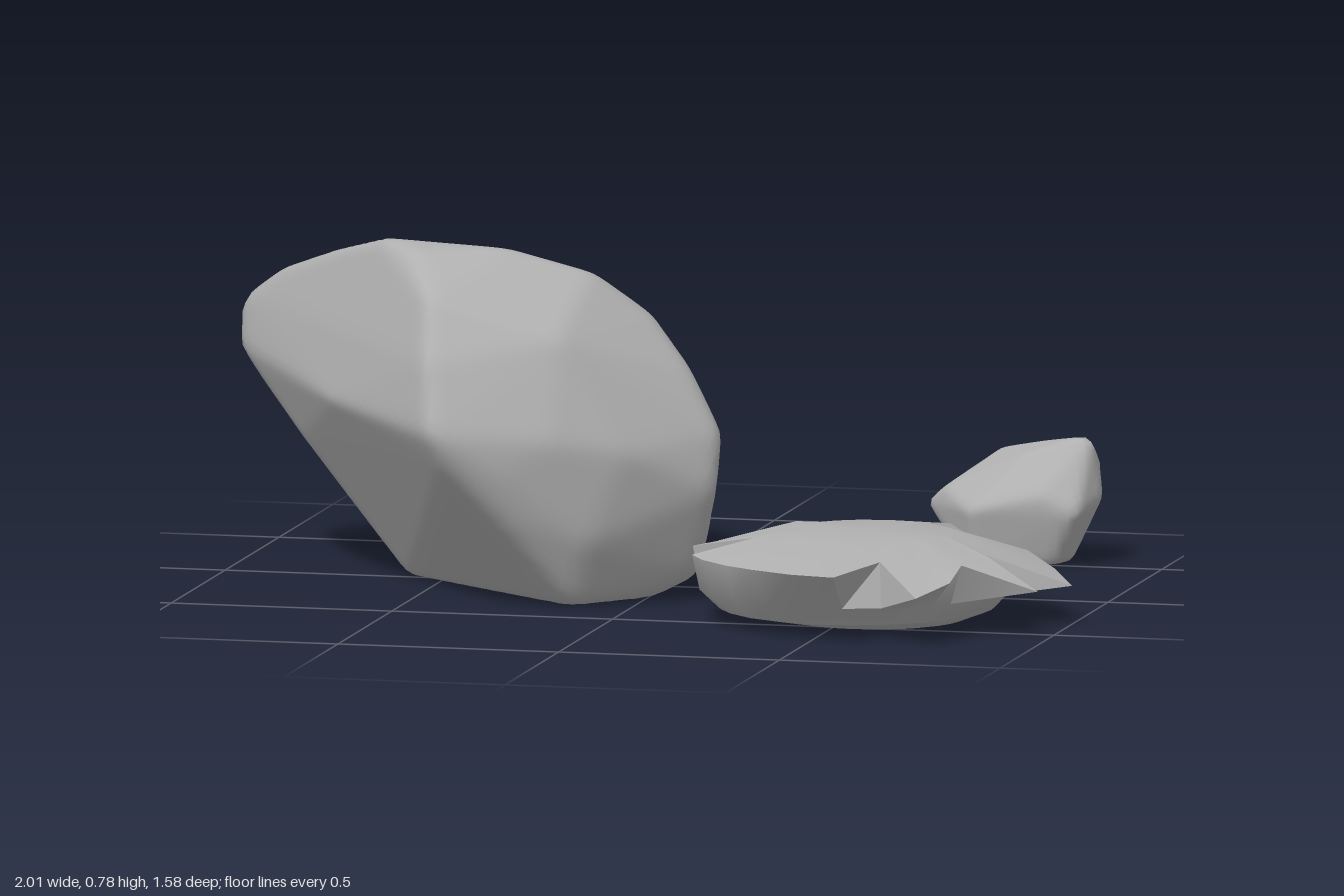
import * as THREE from 'three';
import { ConvexGeometry } from 'three/addons/geometries/ConvexGeometry.js';
import { mergeVertices, toCreasedNormals } from 'three/addons/utils/BufferGeometryUtils.js';

const stone = new THREE.MeshStandardMaterial({ color: 0xb0b0b0 });
stone.name = 'grey stone';

// Worn boulder: a fine sphere wrapped onto the hull of a few corners, edges rounded by averaging
function boulder(name, corners, round, detail) {
  const pts = corners.map(p => new THREE.Vector3(...p));
  const centre = new THREE.Box3().setFromPoints(pts).getCenter(new THREE.Vector3());
  const hull = new ConvexGeometry(pts.map(p => p.clone().sub(centre))).getAttribute('position');
  const planes = [];
  for (let i = 0; i < hull.count; i += 3) {
    const [a, b, c] = [0, 1, 2].map(k => new THREE.Vector3().fromBufferAttribute(hull, i + k));
    const n = b.clone().sub(a).cross(c.sub(a));
    if (n.length() < 1e-7) continue;
    n.normalize();
    planes.push(n.divideScalar(n.dot(a)));
  }
  const offsets = [[0, 0, 0], [1, 0, 0], [-1, 0, 0], [0, 1, 0], [0, -1, 0], [0, 0, 1], [0, 0, -1]]
    .map(o => new THREE.Vector3(...o).multiplyScalar(round));
  let geo = new THREE.IcosahedronGeometry(1, detail);
  geo.deleteAttribute('normal');
  geo.deleteAttribute('uv');
  geo = mergeVertices(geo, 1e-5);
  const pos = geo.getAttribute('position');
  const d = new THREE.Vector3(), q = new THREE.Vector3();
  for (let i = 0; i < pos.count; i++) {
    d.fromBufferAttribute(pos, i).normalize();
    let inverse = 0;
    for (const o of offsets) {
      q.copy(d).add(o);
      let m = 0;
      for (const p of planes) m = Math.max(m, p.dot(q));
      inverse += m / offsets.length;
    }
    q.copy(d).divideScalar(inverse).add(centre);
    pos.setXYZ(i, q.x, Math.max(q.y, 0), q.z);
  }
  geo.computeVertexNormals();
  const mesh = new THREE.Mesh(geo, stone);
  mesh.name = name;
  return mesh;
}

// Flat slab with a chipped rim: rings from the top centre, over the rim, to the base
function slab() {
  const cx = 0.55, cz = 0.38;
  const rim = [ // x, y, z clockwise from the right tip
    [1, .085, .33], [.82, .16, .41], [.9, .1, .42], [.84, .16, .45], [.97, .1, .53], [.81, .16, .58],
    [.8, .13, .65], [.75, .11, .76], [.64, .17, .64], [.57, .155, .79], [.47, .155, .77],
    [.37, .155, .72], [.29, .15, .64], [.22, .15, .57], [.18, .15, .5], [.31, .185, .45],
    [.15, .15, .37], [.34, .185, .3], [.17, .14, .22], [.34, .185, .19],
    [.21, .14, .13], [.3, .14, .06], [.43, .185, .2], [.41, .11, .01], [.54, .185, .13],
    [.53, .11, -.01], [.56, .185, .14], [.62, .11, 0], [.67, .18, .11], [.74, .12, .05],
    [.85, .13, .13], [.94, .11, .25]];
  const ring = (radius, y) => rim.map(([x, , z]) => {
    const a = Math.atan2(z - cz, x - cx);
    const r = radius(Math.cos(a), Math.sin(a));
    return [cx + r * Math.cos(a), y, cz + r * Math.sin(a)];
  });
  const lower = (c, s) => 0.345 - 0.055 * (c + s) * 0.707;
  const rings = [ring(() => 0, .2), ring(() => .19, .195), rim, ring(lower, .07),
    ring((c, s) => lower(c, s) * .88, .028), ring((c, s) => .2 - .05 * s, .002),
    ring(() => 0, 0)];
  const n = rim.length, index = [];
  for (let k = 0; k + 1 < rings.length; k++) {
    for (let i = 0; i < n; i++) {
      const j = (i + 1) % n, a = k * n, b = a + n;
      if (k + 2 < rings.length) index.push(a + i, b + j, b + i);
      if (k > 0) index.push(a + i, a + j, b + j);
    }
  }
  const geo = new THREE.BufferGeometry();
  geo.setAttribute('position', new THREE.Float32BufferAttribute(rings.flat(2), 3));
  geo.setIndex(index);
  const mesh = new THREE.Mesh(toCreasedNormals(geo, 0.6), stone);
  mesh.name = 'chippedSlab';
  return mesh;
}

export function createModel() {
  const group = new THREE.Group();
  group.name = 'rocks';

  group.add(boulder('largeBoulder', [
    // base
    [-.59, 0, -.02], [-.5, 0, -.17], [-.12, 0, -.18], [0, 0, .03], [.01, 0, .2], [-.13, 0, .36],
    // broken front left face and its overhang
    [-1.015, .48, -.17], [-1.015, .59, -.2], [-.84, .3, -.05], [-.7, .42, .23], [-.4, .4, .575],
    [-.38, .33, .54], [-.26, .31, .515], [-.23, .2, .475],
    [-.42, .55, .515], [-.44, .69, .42], [-.5, .77, .28],
    // crown
    [-.6, .785, .19], [-.75, .73, .03], [-.9, .67, -.11], [-.31, .77, .19], [-.13, .72, .16], [-.35, .72, 0],
    [-.13, .59, -.25], [-.2, .54, -.4], [-.65, .53, -.39],
    // rounded right side
    [0, .62, .12], [.1, .5, .15], [.175, .37, .18], [.17, .25, .22], [.125, .06, .17], [0, .35, .38],
    [-.15, .38, .47], [-.15, .6, .38], [-.08, .15, .41], [.06, .35, -.06], [-.06, .36, -.33],
    // back
    [-.14, .35, -.52], [-.38, .31, -.57], [-.82, .29, -.54], [-.91, .38, -.45],
    [-.62, .16, -.42], [-.16, .16, -.43], [-.5, .03, -.27], [-.15, .03, -.27],
  ], 0.05, 28));

  group.add(slab());

  group.add(boulder('smallStone', [
    [.57, 0, -.5], [.76, 0, -.49], [.78, 0, -.57], [.6, 0, -.63], [.5, .03, -.6],
    [.43, .11, -.65], [.47, .1, -.745], [.54, .07, -.805], [.68, .08, -.74], [.82, .12, -.64],
    [.855, .15, -.55], [.82, .12, -.45], [.73, .16, -.455], [.57, .12, -.47], [.48, .15, -.6],
    [.83, .29, -.54], [.84, .24, -.58], [.72, .26, -.62], [.6, .235, -.67], [.55, .2, -.7], [.68, .24, -.54],
  ], 0.06, 14));

  return group;
}
